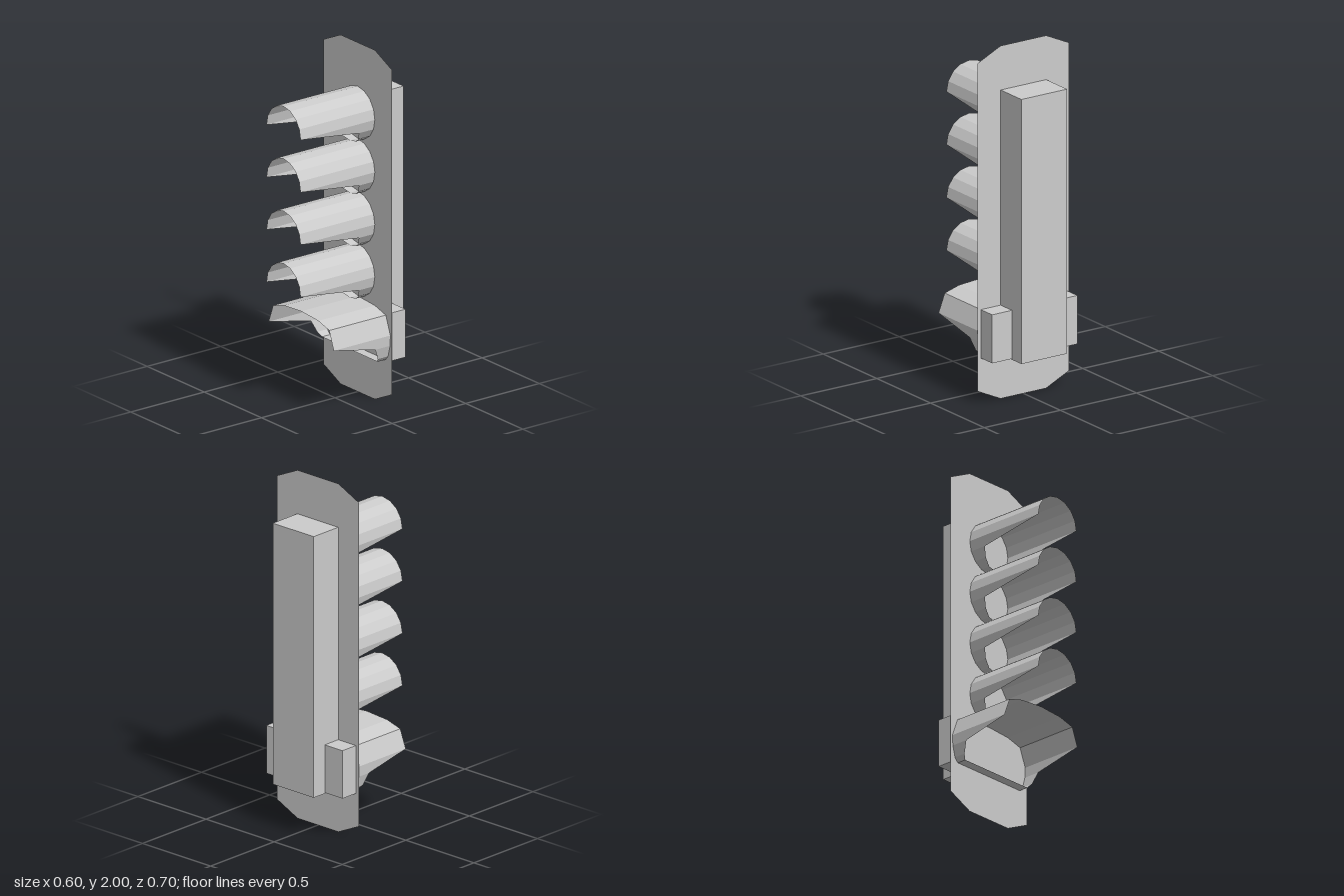
import * as THREE from 'three';

const BACK = -0.155; // depth of the backplate

const material = new THREE.MeshStandardMaterial({
  color: 0xcccccc, flatShading: true, side: THREE.DoubleSide,
});

function addMesh(parent, geometry, name) {
  const mesh = new THREE.Mesh(geometry, material);
  mesh.name = name;
  parent.add(mesh);
  return mesh;
}

function addBox(parent, name, width, y0, y1, z0, z1) {
  const box = addMesh(parent, new THREE.BoxGeometry(width, y1 - y0, z1 - z0), name);
  box.position.set(0, (y0 + y1) / 2, (z0 + z1) / 2);
}

// Thin open visor: a closed ring on the plate, each point [x, y, zFront] drawn out to its own depth
function visorGeometry(ring) {
  const positions = [];
  ring.forEach(([x0, y0, z0], i) => {
    const [x1, y1, z1] = ring[(i + 1) % ring.length];
    positions.push(
      x0, y0, BACK, x0, y0, z0, x1, y1, BACK,
      x1, y1, BACK, x0, y0, z0, x1, y1, z1,
    );
  });
  const geometry = new THREE.BufferGeometry();
  geometry.setAttribute('position', new THREE.Float32BufferAttribute(positions, 3));
  geometry.computeVertexNormals();
  return geometry;
}

// Sixteen-sided ring, long over its upper half and cut back steeply below
function roundRing(radius) {
  const lowerDepths = [-0.055, -0.078, -0.098, -0.1];
  return Array.from({ length: 16 }, (_, i) => {
    const steps = i <= 8 ? i : 16 - i; // steps away from the top
    const angle = (i * Math.PI) / 8;
    const depth = steps <= 4 ? 0.35 : lowerDepths[steps - 5];
    return [radius * Math.sin(angle), radius * Math.cos(angle), depth];
  });
}

// Wide ring with rounded corners, mirrored from its +x half
function wideRing() {
  const half = [
    [0.15, 0.537, 0.23], [0.245, 0.51, 0.23], [0.285, 0.405, 0.23],
    [0.282, 0.345, -0.055], [0.265, 0.28, -0.085], [0.243, 0.255, -0.1],
  ];
  const mirrored = half.map(([x, y, z]) => [-x, y, z]).reverse();
  return [[0, 0.548, 0.23], ...half, ...mirrored];
}

export function createModel() {
  const model = new THREE.Group();
  model.name = 'signalHead';

  // Flat backplate with clipped corners
  const outline = [
    [-0.15, 0], [0.15, 0], [0.3, 0.07], [0.3, 1.93],
    [0.15, 2], [-0.15, 2], [-0.3, 1.93], [-0.3, 0.07],
  ].map(([x, y]) => new THREE.Vector2(x, y));
  const plate = addMesh(model, new THREE.ShapeGeometry(new THREE.Shape(outline)), 'backplate');
  plate.position.z = BACK;

  // Housings behind the plate
  addBox(model, 'mainHousing', 0.3, 0.25, 1.75, -0.35, BACK - 0.001);
  addBox(model, 'wideLowerHousing', 0.56, 0.255, 0.53, -0.262, BACK - 0.001);

  // Four round visors above one wide visor
  const roundVisor = visorGeometry(roundRing(0.149));
  [1.6, 1.3, 1.0, 0.7].forEach((y, i) => {
    addMesh(model, roundVisor, `roundVisor${i + 1}`).position.y = y;
  });
  addMesh(model, visorGeometry(wideRing()), 'wideVisor');

  return model;
}
